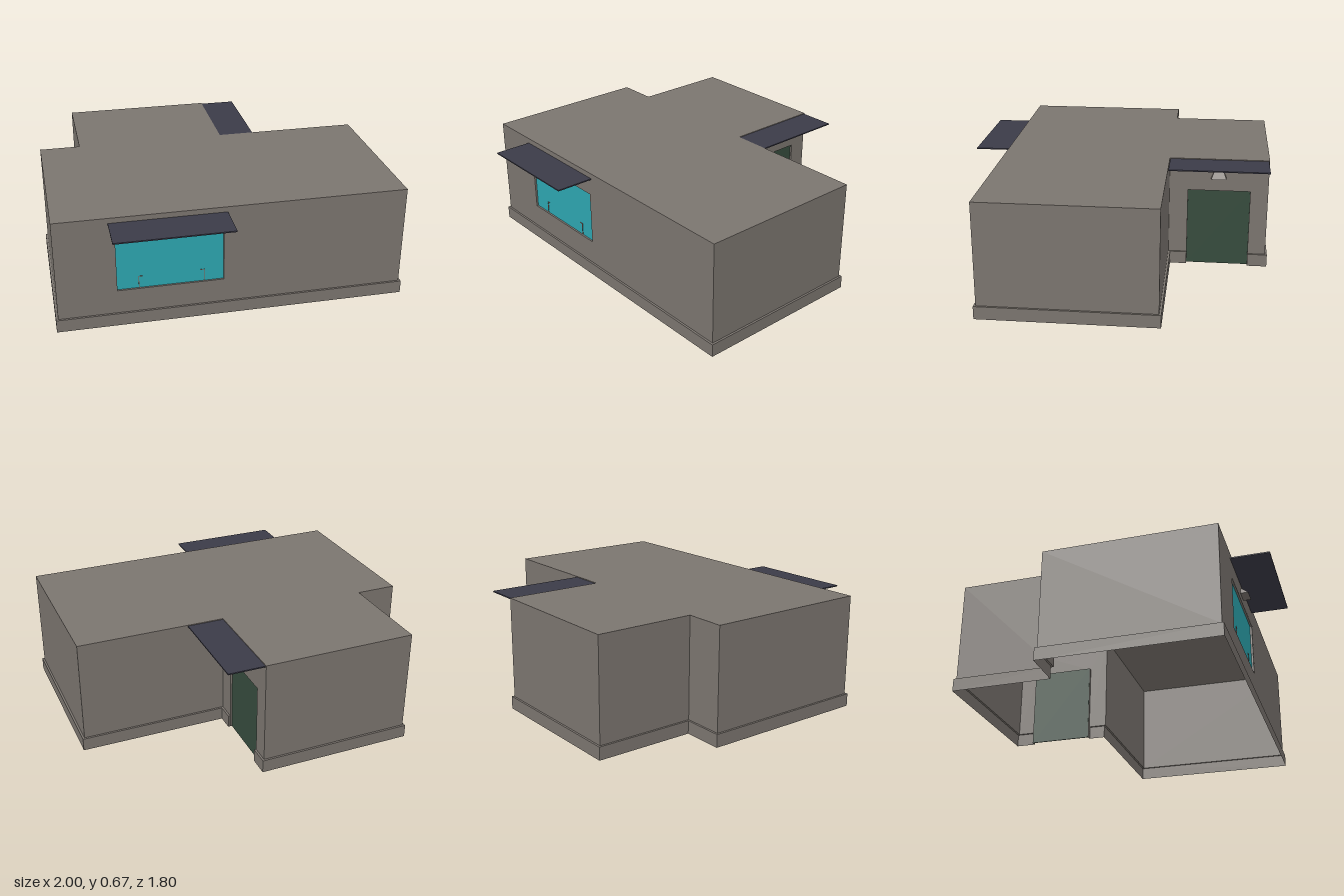
import * as THREE from 'three';

const paint = (name, color, side = THREE.FrontSide) => {
  const m = new THREE.MeshStandardMaterial({ color, side });
  m.name = name;
  return m;
};

export function createModel() {
  const concrete = paint('concrete', 0x7b756f, THREE.DoubleSide);
  const glass = paint('teal glass', 0x2da6b0);
  const green = paint('door green', 0x364b3d);
  const slate = paint('awning slate', 0x3b3b48);
  const rust = paint('rust', 0x8c5a4c);

  const model = new THREE.Group();
  model.name = 'building';
  const add = (parent, name, geo, mat, x = 0, y = 0, z = 0) => {
    const m = new THREE.Mesh(geo, mat);
    m.name = name;
    m.position.set(x, y, z);
    parent.add(m);
    return m;
  };
  const box = (parent, name, mat, w, h, d, x, y, z) =>
    add(parent, name, new THREE.BoxGeometry(w, h, d), mat, x, y, z);

  // footprint as [x, z], anticlockwise seen from above, starting at the front
  const H = 0.667, LEDGE = 0.075, OUT = 0.012;
  const L = -0.988, R = 0.988, F = 0.68, B = -0.305, WL = -0.75, WR = 0.135, WB = -0.888;
  const plan = [[L, F], [R, F], [R, B], [WR, B], [WR, WB], [WL, WB], [WL, B], [L, B]];
  const FRONT = 0, DOOR_SIDE = 3;
  const win = { u0: -0.656 - L, u1: -0.06 - L, y0: 0.216, y1: 0.53 };
  const door = { u0: 0.11, u1: 0.478, y0: 0, y1: 0.472 };

  // roof
  const roof = new THREE.ShapeGeometry(new THREE.Shape(plan.map(([x, z]) => new THREE.Vector2(x, -z))));
  roof.rotateX(-Math.PI / 2);
  add(model, 'roof', roof, concrete, 0, H, 0);

  // walls: each group has local x along the wall and z outward
  const sides = plan.map(([x, z], i) => {
    const [x2, z2] = plan[(i + 1) % plan.length];
    const len = Math.hypot(x2 - x, z2 - z);
    const g = new THREE.Group();
    g.name = 'wallSide';
    g.position.set(x, 0, z);
    g.rotation.y = Math.atan2(z - z2, x2 - x);
    model.add(g);
    const s = new THREE.Shape();
    s.moveTo(0, LEDGE);
    if (i === DOOR_SIDE) {
      s.lineTo(door.u0, LEDGE);
      s.lineTo(door.u0, door.y1);
      s.lineTo(door.u1, door.y1);
      s.lineTo(door.u1, LEDGE);
    }
    s.lineTo(len, LEDGE);
    s.lineTo(len, H);
    s.lineTo(0, H);
    s.closePath();
    if (i === FRONT) {
      const h = new THREE.Path();
      h.moveTo(win.u0, win.y0);
      h.lineTo(win.u0, win.y1);
      h.lineTo(win.u1, win.y1);
      h.lineTo(win.u1, win.y0);
      h.closePath();
      s.holes.push(h);
    }
    add(g, 'wall', new THREE.ShapeGeometry(s), concrete);
    return g;
  });

  // base skirt: a ledge and a drop, running from one door jamb round to the other
  const outer = [
    [L - OUT, F + OUT], [R + OUT, F + OUT], [R + OUT, B - OUT], [WR + OUT, B - OUT],
    [WR + OUT, WB - OUT], [WL - OUT, WB - OUT], [WL - OUT, B - OUT], [L - OUT, B - OUT],
  ];
  const run = (pts, x) => [
    [x, B - door.u1], ...pts.slice(4), ...pts.slice(0, 4), [x, B - door.u0],
  ];
  const inRun = run(plan, WR), outRun = run(outer, WR + OUT);
  const pos = [];
  const quad = (a, b, c, d) => pos.push(...a, ...b, ...c, ...a, ...c, ...d);
  const at = ([x, z], y) => [x, y, z];
  for (let i = 0; i < inRun.length - 1; i++) {
    const a = outRun[i], b = outRun[i + 1];
    quad(at(a, 0), at(b, 0), at(b, LEDGE), at(a, LEDGE));
    quad(at(a, LEDGE), at(b, LEDGE), at(inRun[i + 1], LEDGE), at(inRun[i], LEDGE));
  }
  const skirt = new THREE.BufferGeometry();
  skirt.setAttribute('position', new THREE.Float32BufferAttribute(pos, 3));
  skirt.computeVertexNormals();
  add(model, 'baseSkirt', skirt, concrete);

  // recessed panel with its reveals
  const DEPTH = 0.015, T = 0.003;
  const opening = (g, name, mat, o) => {
    const w = o.u1 - o.u0, h = o.y1 - o.y0, cx = (o.u0 + o.u1) / 2, cy = (o.y0 + o.y1) / 2;
    box(g, name, mat, w, h, 0.006, cx, cy, -DEPTH);
    for (const u of [o.u0 - T / 2, o.u1 + T / 2])
      box(g, name + 'Jamb', concrete, T, h, DEPTH, u, cy, -DEPTH / 2 - 0.001);
    box(g, name + 'Head', concrete, w, T, DEPTH, cx, o.y1 + T / 2, -DEPTH / 2 - 0.001);
    if (o.y0 > 0) box(g, name + 'Sill', concrete, w, T, DEPTH, cx, o.y0 - T / 2, -DEPTH / 2 - 0.001);
  };
  opening(sides[FRONT], 'window', glass, win);
  opening(sides[DOOR_SIDE], 'door', green, door);
  for (const u of [door.u0 - T / 2, door.u1 + T / 2])
    box(sides[DOOR_SIDE], 'skirtEnd', concrete, T, LEDGE, OUT, u, LEDGE / 2, OUT / 2);

  // small hooks on the window
  for (const [x, s] of [[-0.535, 1], [-0.17, -1]]) {
    box(sides[FRONT], 'hookPost', rust, 0.003, 0.07, 0.004, x - L, 0.252, -0.011);
    box(sides[FRONT], 'hookTip', rust, 0.022, 0.003, 0.004, x - L + s * 0.009, 0.288, -0.011);
  }

  // wall lamps: wedges that widen downward and outward
  const lamp = (g, u, y) => {
    const geo = new THREE.BoxGeometry(0.09, 0.04, 0.045);
    const p = geo.attributes.position;
    for (let i = 0; i < p.count; i++) {
      if (p.getY(i) < 0) continue;
      p.setX(i, p.getX(i) * 0.6);
      if (p.getZ(i) > 0) p.setZ(i, -0.018);
    }
    geo.computeVertexNormals();
    add(g, 'wallLamp', geo, concrete, u, y, 0.0225);
  };
  lamp(sides[FRONT], -0.36 - L, 0.588);
  lamp(sides[DOOR_SIDE], 0.29, 0.575);

  // flat awnings
  box(model, 'frontAwning', slate, 0.65, 0.007, 0.22, -0.365, 0.633, 0.79);
  box(model, 'doorAwning', slate, 0.212, 0.007, 0.575, 0.242, 0.66, -0.595);

  return model;
}
